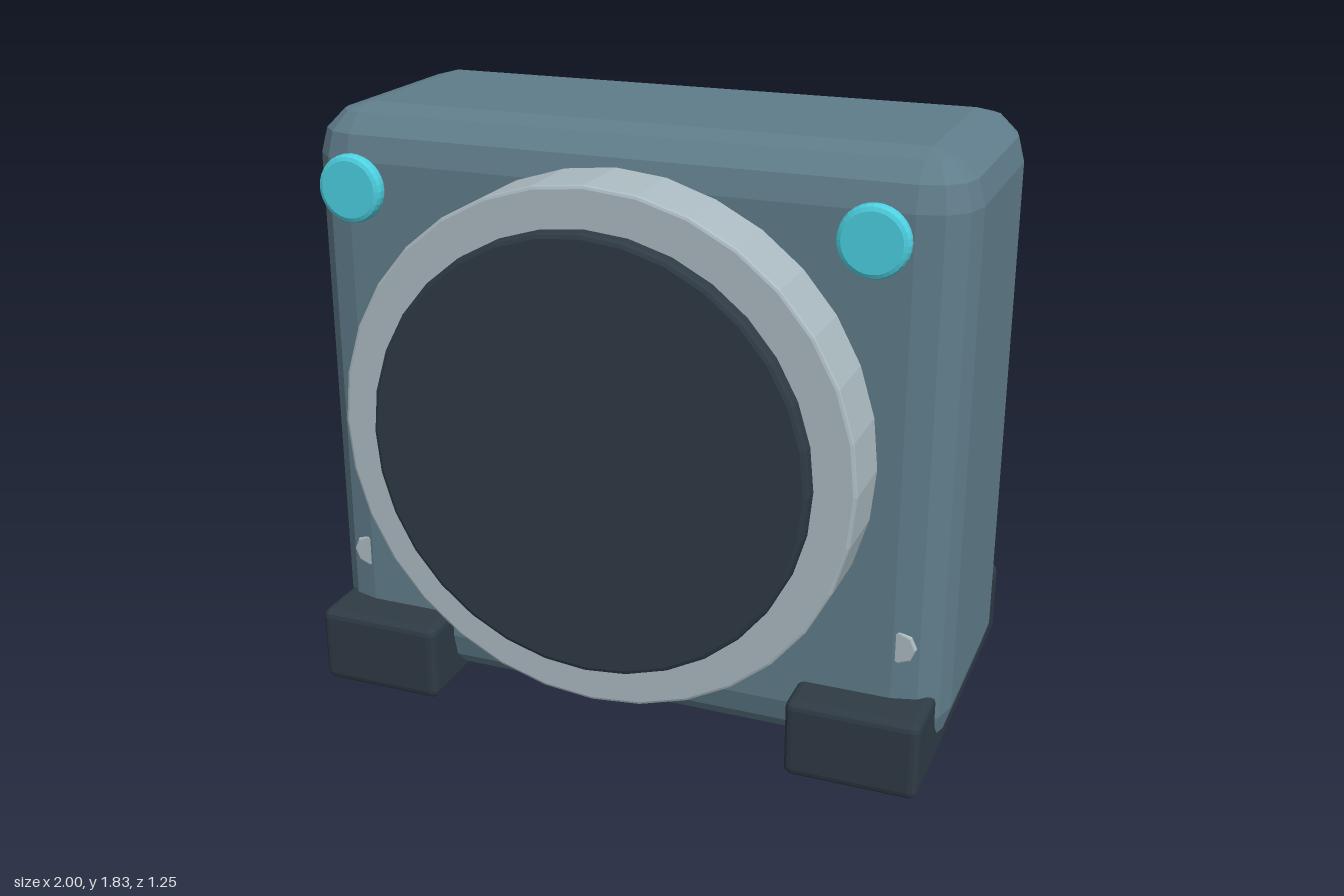
import * as THREE from 'three';
import { ConvexGeometry } from 'three/addons/geometries/ConvexGeometry.js';

const paint = (color) => new THREE.MeshStandardMaterial({ color, flatShading: true });

// Box between two corners with edges rounded in a few flat facets
function bevelBox(min, max, r, steps) {
  const points = [];
  for (const sx of [-1, 1]) for (const sy of [-1, 1]) for (const sz of [-1, 1]) {
    const s = [sx, sy, sz];
    const c = s.map((v, i) => (v > 0 ? max[i] - r : min[i] + r));
    for (let i = 0; i <= steps; i++) {
      const lat = (i / steps) * Math.PI / 2;
      for (let j = 0; j <= (i === steps ? 0 : steps); j++) {
        const lon = (j / steps) * Math.PI / 2;
        points.push(new THREE.Vector3(
          c[0] + sx * r * Math.cos(lat) * Math.cos(lon),
          c[1] + sy * r * Math.sin(lat),
          c[2] + sz * r * Math.cos(lat) * Math.sin(lon)));
      }
    }
  }
  return new ConvexGeometry(points);
}

// Solid disc facing +z with a small bevel on both rims
function disc(radius, back, front, bevel, sides) {
  const profile = [
    [0, back], [radius - bevel, back], [radius - bevel * 0.3, back + bevel * 0.3], [radius, back + bevel],
    [radius, front - bevel], [radius - bevel * 0.3, front - bevel * 0.3], [radius - bevel, front], [0, front],
  ].map(([x, y]) => new THREE.Vector2(x, y));
  return new THREE.LatheGeometry(profile, sides).rotateX(Math.PI / 2);
}

export function createModel() {
  const group = new THREE.Group();
  const body = paint(0x607d8b), dark = paint(0x2f3b45), light = paint(0xabbbc1), cyan = paint(0x4dd0e1);

  const add = (name, geometry, material, x = 0, y = 0) => {
    const mesh = new THREE.Mesh(geometry, material);
    mesh.name = name;
    mesh.position.set(x, y, 0);
    group.add(mesh);
  };

  // Main case
  add('case', bevelBox([-1, 0.015, -0.49], [1, 1.83, 0.37], 0.15, 3), body);

  // Round front with its dark face
  add('frontRing', disc(0.78, 0.3, 0.58, 0.01, 32), light, 0, 0.95);
  add('frontFace', disc(0.66, 0.54, 0.627, 0.015, 32), dark, 0, 0.95);

  for (const side of [1, -1]) {
    const label = side > 0 ? 'left' : 'right';
    // Foot running under the case from front to back
    const x = [0.57 * side, 0.97 * side].sort((a, b) => a - b);
    add(label + 'Foot', bevelBox([x[0], 0, -0.625], [x[1], 0.245, 0.503], 0.025, 3), dark);
    // Coloured button in the upper corner
    add(label + 'Button', disc(0.1, 0.455, 0.503, 0.016, 32), cyan, 0.77 * side, 1.63);
    // Small stud set into the rounded edge
    add(label + 'Stud', disc(0.052, 0.3, 0.368, 0.006, 8), light, 0.865 * side, 0.41);
  }
  return group;
}
